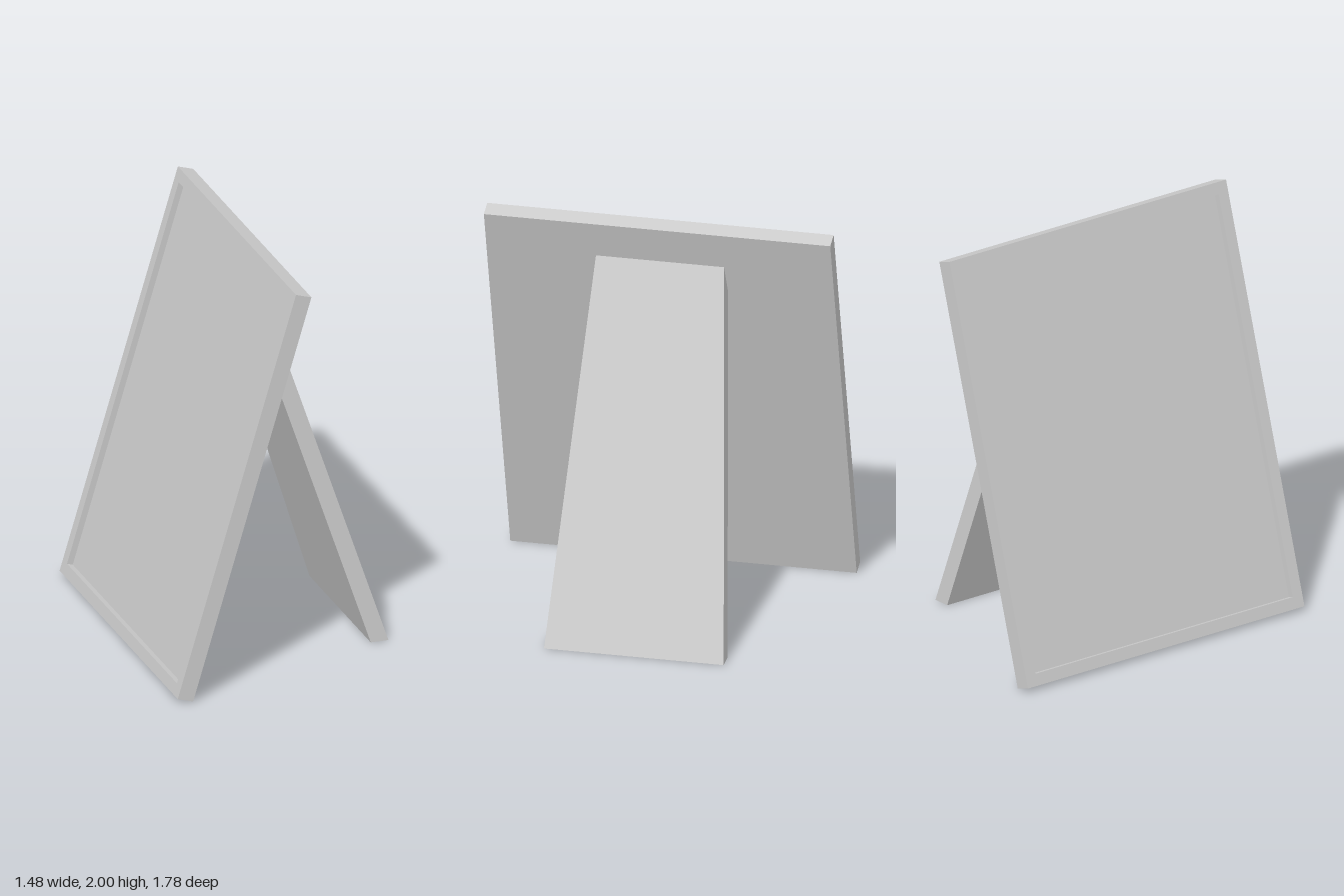
import * as THREE from 'three';

const W = 1.667, H = 2.064;        // frame width and height
const BACK = 0.05, RIM = 0.03;     // board thickness, recess depth
const BORDER = 0.058;
const TILT = 0.29;                 // backward lean

export function createModel() {
  const material = new THREE.MeshStandardMaterial({ color: 0xcccccc, flatShading: true });
  const model = new THREE.Group();
  model.name = 'pictureFrame';
  const add = (parent, name, geometry) => {
    const mesh = new THREE.Mesh(geometry, material);
    mesh.name = name;
    parent.add(mesh);
    return mesh;
  };

  // Leaning frame, pivoted on its lower back edge
  const frame = new THREE.Group();
  frame.name = 'frame';
  frame.position.set(-0.054, 0, 0.452);
  frame.rotation.x = -TILT;
  model.add(frame);

  // Back board, which is also the floor of the recess
  add(frame, 'backBoard', new THREE.BoxGeometry(W, H, BACK)).position.set(0, H / 2, BACK / 2);

  // Raised rim around the picture
  const rect = (path, inset) => {
    const x = W / 2 - inset;
    path.moveTo(-x, inset).lineTo(x, inset).lineTo(x, H - inset).lineTo(-x, H - inset).closePath();
    return path;
  };
  const outline = rect(new THREE.Shape(), 0);
  outline.holes.push(rect(new THREE.Path(), BORDER));
  const rim = new THREE.ExtrudeGeometry(outline, { depth: RIM, bevelEnabled: false });
  add(frame, 'rim', rim).position.z = BACK;

  // Tapered easel leg: flat on the ground, its upper end cut to the back of the frame
  const leg = new THREE.BoxGeometry(2, 1, 1);
  const pos = leg.attributes.position;
  for (let i = 0; i < pos.count; i++) {
    const inner = pos.getZ(i) > 0;
    const y = pos.getY(i) < 0 ? 0 : inner ? 1.65 : 1.79;
    const halfWidth = 0.4325 - 0.0695 * y;
    const z = (inner ? -0.577 : -0.665) + 0.3257 * y;
    pos.setXYZ(i, Math.sign(pos.getX(i)) * halfWidth - 0.056, y, z);
  }
  leg.computeVertexNormals();
  add(model, 'easelLeg', leg);

  // Turn the whole stand about the vertical
  model.rotation.y = THREE.MathUtils.degToRad(-75);
  const root = new THREE.Group();
  root.add(model);
  return root;
}
